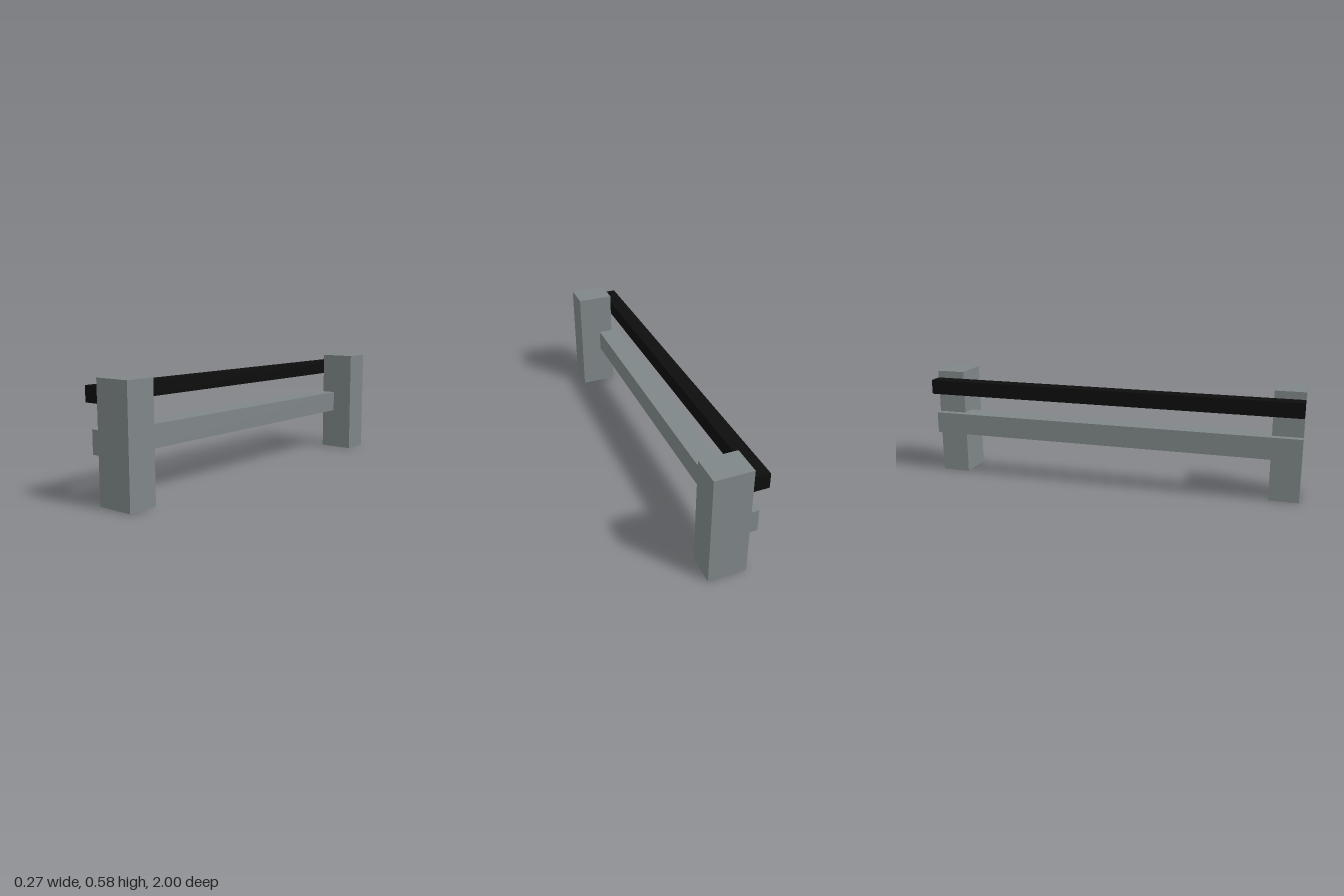
import * as THREE from 'three';

export function createModel() {
  const model = new THREE.Group();
  model.name = 'guardRail';

  const grey = new THREE.MeshStandardMaterial({ color: 0x7f8688 });
  grey.name = 'grey';
  const black = new THREE.MeshStandardMaterial({ color: 0x0d0d0d });
  black.name = 'black';

  // Adds a box given its minimum and maximum corners
  const addBox = (name, material, min, max) => {
    const size = max.map((v, i) => v - min[i]);
    const mesh = new THREE.Mesh(new THREE.BoxGeometry(...size), material);
    mesh.position.set(...max.map((v, i) => (v + min[i]) / 2));
    mesh.name = name;
    model.add(mesh);
  };

  // Upright posts at both ends
  addBox('frontPost', grey, [-0.058, 0, 0.846], [0.135, 0.577, 1]);
  addBox('backPost', grey, [-0.058, 0, -1], [0.135, 0.577, -0.846]);

  // Lower rail let into the posts
  addBox('lowerRail', grey, [-0.096, 0.231, -1], [0.019, 0.346, 1]);

  // Dark upper bar fixed to the side of the posts
  addBox('upperBar', black, [-0.135, 0.462, -1], [-0.058, 0.539, 1]);

  return model;
}
